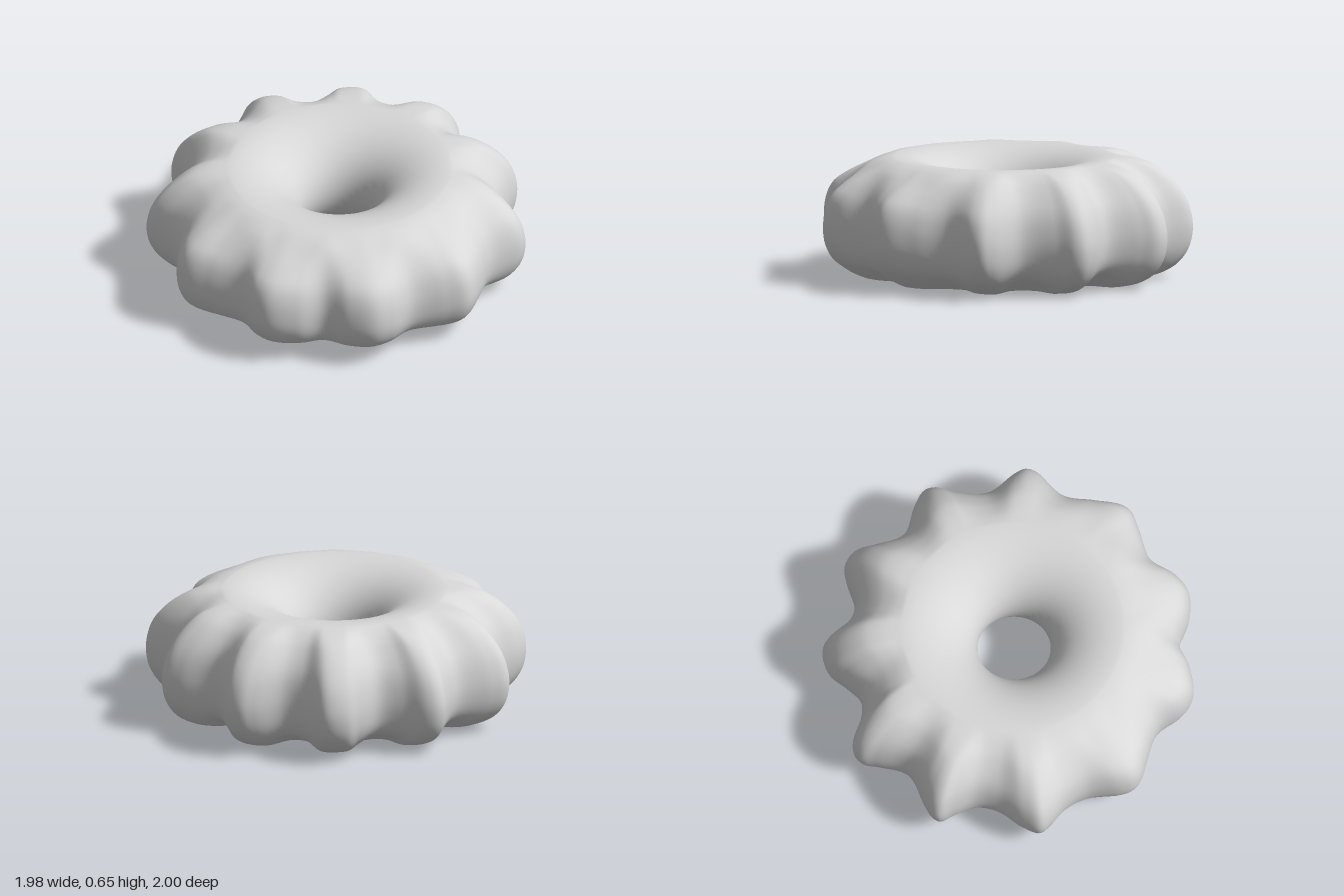
import * as THREE from 'three';

// Scalloped outer rim as x, z pairs, clockwise from the back
const RIM = [
  -0.15, -1.0, -0.11, -0.99, -0.05, -0.945, 0.11, -0.85, 0.29, -0.915, 0.38, -0.93, 0.425, -0.9,
  0.47, -0.8, 0.58, -0.655, 0.76, -0.613, 0.82, -0.585, 0.842, -0.53, 0.828, -0.33, 0.91, -0.18,
  0.98, -0.05, 0.985, 0.01, 0.935, 0.105, 0.845, 0.265, 0.857, 0.425, 0.83, 0.53, 0.72, 0.62,
  0.58, 0.675, 0.51, 0.8, 0.4, 0.91, 0.3, 0.925, 0.14, 0.888, -0.02, 0.945, -0.13, 0.99,
  -0.19, 0.99, -0.25, 0.955, -0.38, 0.825, -0.5, 0.778, -0.63, 0.775, -0.69, 0.76, -0.722, 0.665,
  -0.735, 0.505, -0.79, 0.4, -0.9, 0.335, -0.98, 0.3, -0.99, 0.26, -0.965, 0.185, -0.883, 0,
  -0.95, -0.16, -0.99, -0.23, -0.985, -0.28, -0.94, -0.325, -0.82, -0.37, -0.725, -0.45,
  -0.71, -0.585, -0.71, -0.69, -0.63, -0.785, -0.447, -0.765, -0.35, -0.8, -0.26, -0.93, -0.21, -0.985,
];
// Outer half of the cross-section (reach, height): rounded and square-shouldered
const ROUND = [[0, 0.65], [0.3, 0.635], [0.55, 0.595], [0.82, 0.49], [0.95, 0.39], [1, 0.28],
  [0.965, 0.18], [0.85, 0.095], [0.65, 0.035], [0.35, 0.003], [0, 0.008]];
const SQUARE = [[0, 0.65], [0.2, 0.643], [0.42, 0.61], [0.72, 0.535], [0.91, 0.46], [0.99, 0.37],
  [1, 0.25], [0.92, 0.155], [0.74, 0.085], [0.43, 0.022], [0, 0.008]];

const MID = 0.58, HOLE = 0.195, HOLE_Z = 0.01;
const AROUND = 360, OUTER = 40, INNER = 24;

function sampleProfile(points) {
  const curve = new THREE.CatmullRomCurve3(points.map(([u, y]) => new THREE.Vector3(u, y, 0)));
  return Array.from({ length: OUTER + 1 }, (_, j) => curve.getPoint(j / OUTER));
}

function ruffledRing() {
  const rimPoints = [];
  for (let i = 0; i < RIM.length; i += 2) rimPoints.push(new THREE.Vector3(RIM[i], 0, RIM[i + 1]));
  const rim = new THREE.CatmullRomCurve3(rimPoints, true).getSpacedPoints(AROUND);
  const round = sampleProfile(ROUND), square = sampleProfile(SQUARE);
  const rows = OUTER + INNER;
  const positions = [], index = [];

  for (let i = 0; i < AROUND; i++) {
    const { x, z } = rim[i];
    const reach = Math.hypot(x, z);
    const dx = x / reach, dz = z / reach;
    const lobe = THREE.MathUtils.smoothstep(reach, 0.84, 0.99);
    // Square shoulders on the front and right, rounded elsewhere
    const facing = THREE.MathUtils.smoothstep(dx * 0.7 + dz * 0.7, -0.1, 0.6);
    for (let j = 0; j < rows; j++) {
      let r, y, shift = 0;
      if (j <= OUTER) {
        const p = round[j].clone().lerp(square[j], facing * lobe);
        r = MID + (reach - MID) * p.x;
        // Valleys are pinched in height, front lobes slope down from the ring
        const upper = p.y > 0.325;
        const u = THREE.MathUtils.clamp(p.x, 0, 1);
        const pinch = (1 - lobe) * (upper ? 0.12 * (1 - facing) : 0.15) * Math.sin(Math.PI * u ** 1.4);
        const slope = upper ? 0.02 * facing * lobe * Math.sin(Math.PI * u ** 0.8) ** 2 : 0;
        y = 0.325 + (p.y - 0.325) * (1 - pinch) - slope;
      } else {
        // Smooth inner half around the hole
        const a = Math.PI * (j - OUTER) / INNER;
        r = MID - (MID - HOLE) * Math.sin(a);
        y = 0.329 - 0.321 * Math.cos(a);
        shift = HOLE_Z * Math.sin(a);
      }
      positions.push(dx * r, y, dz * r + shift);
      const i2 = (i + 1) % AROUND, j2 = (j + 1) % rows;
      const a = i * rows + j, b = i2 * rows + j, c = i2 * rows + j2, d = i * rows + j2;
      index.push(a, b, d, b, c, d);
    }
  }
  const geometry = new THREE.BufferGeometry();
  geometry.setAttribute('position', new THREE.Float32BufferAttribute(positions, 3));
  geometry.setIndex(index);
  geometry.computeVertexNormals();
  return geometry;
}

export function createModel() {
  const group = new THREE.Group();
  group.name = 'ruffledRingModel';
  const grey = new THREE.MeshStandardMaterial({ color: 0xd8d8d8 });
  grey.name = 'light grey';
  const ring = new THREE.Mesh(ruffledRing(), grey);
  ring.name = 'ruffledRing';
  group.add(ring);
  return group;
}
